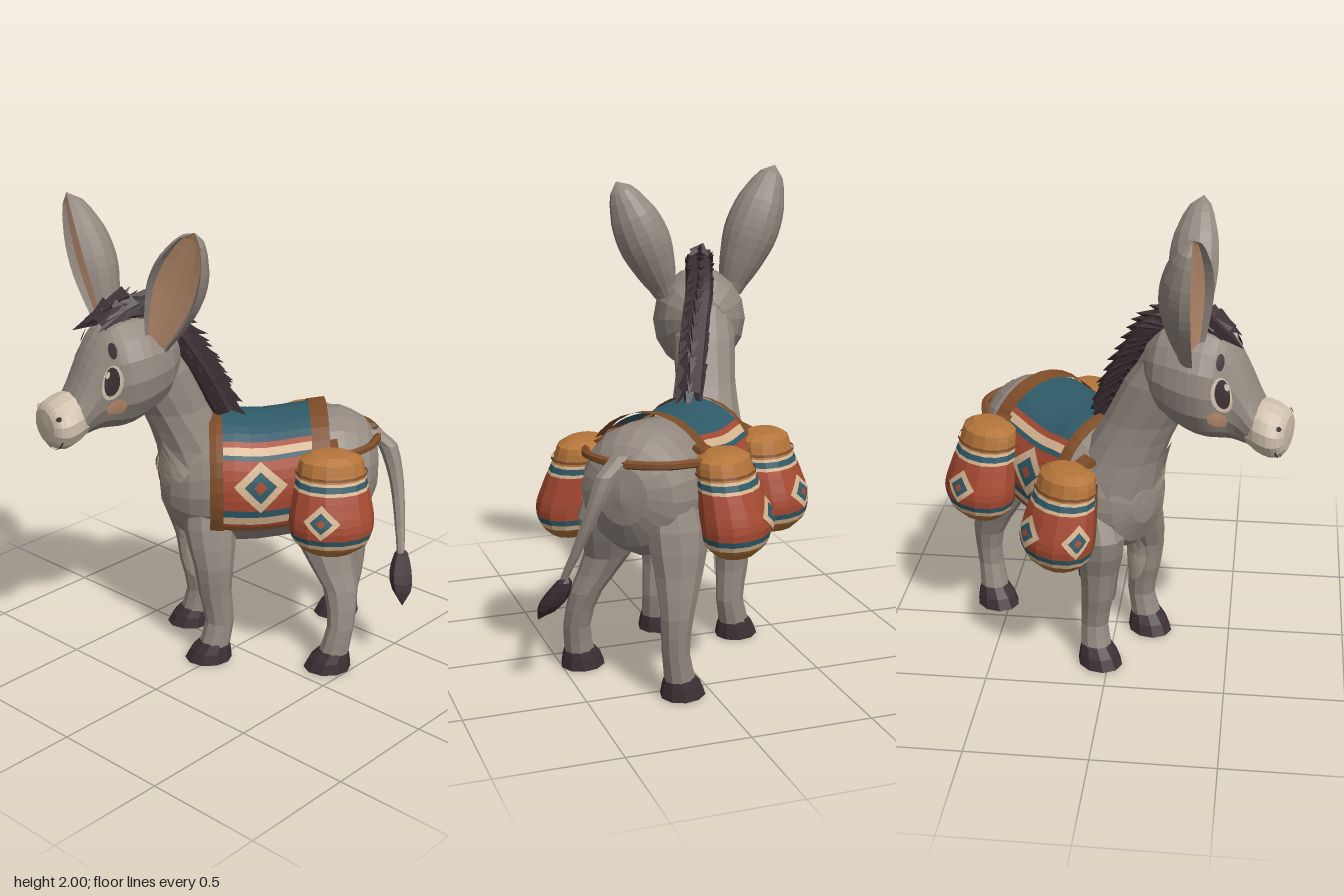
import * as THREE from 'three';

const mat = (name, color) => new THREE.MeshStandardMaterial({ name, color, flatShading: true, side: THREE.DoubleSide });
const GREY = mat('greyCoat', 0x938980), DARK = mat('darkHair', 0x3c3034), ORANGE = mat('tanLeather', 0xb5753a),
  BROWN = mat('brownStrap', 0x7d4c28), RED = mat('redCloth', 0xa64a32), TEAL = mat('tealCloth', 0x2f5a68),
  CREAM = mat('creamCloth', 0xd8b792), PALE = mat('paleMuzzle', 0xd0c1ad), PINK = mat('peachSkin', 0xc39474),
  CHEST = mat('lightCoat', 0xaea192);

// Smoothly interpolate rows of numbers keyed by their first entry
function at(rows, k) {
  const s = Math.sign(rows[1][0] - rows[0][0]), n = rows.length;
  let i = 0;
  while (i < n - 2 && (k - rows[i + 1][0]) * s > 0) i++;
  const p1 = rows[i], p2 = rows[i + 1], p0 = rows[Math.max(i - 1, 0)], p3 = rows[Math.min(i + 2, n - 1)];
  const t = (k - p1[0]) / (p2[0] - p1[0]);
  return p1.map((b, j) => b + 0.5 * t * (p2[j] - p0[j] + t * (2 * p0[j] - 5 * b + 4 * p2[j] - p3[j]
    + t * (3 * (b - p2[j]) + p3[j] - p0[j]))));
}

// Surface lying along z: rows [z, top, bottom, halfWidth]
const alongZ = rows => (k, a, o = 0) => {
  const [, top, bot, w] = at(rows, k);
  return [(Math.max(w, 0) + o) * Math.sin(a), (top + bot) / 2 + ((top - bot) / 2 + o) * Math.cos(a), k];
};
// Upright surface, listed top to bottom: rows [y, x, z, rx, rz]
const alongY = rows => (k, a, o = 0) => {
  const [, x, z, rx, rz] = at(rows, k);
  return [x + (Math.max(rx, 0) + o) * Math.sin(a), k, z + (Math.max(rz, 0) + o) * Math.cos(a)];
};

function grid(parent, name, material, us, vs, fn) {
  const pos = [], idx = [], m = vs.length;
  us.forEach(u => vs.forEach(v => pos.push(...fn(u, v))));
  for (let i = 0; i < us.length - 1; i++) for (let j = 0; j < m - 1; j++) {
    const a = i * m + j, b = a + m;
    idx.push(a, b, a + 1, b, b + 1, a + 1);
  }
  const g = new THREE.BufferGeometry();
  g.setAttribute('position', new THREE.Float32BufferAttribute(pos, 3));
  g.setIndex(idx);
  g.computeVertexNormals();
  return add(parent, name, g, material);
}
function add(parent, name, geo, material) {
  const mesh = new THREE.Mesh(geo, material);
  mesh.name = name;
  parent.add(mesh);
  return mesh;
}
const range = (a, b, n) => Array.from({ length: n + 1 }, (_, i) => a + (b - a) * i / n);
const TAU = Math.PI * 2, rad = d => d * Math.PI / 180;

function loft(parent, name, material, rows, surf, sides = 14, sub = 2) {
  const keys = [rows[0][0]];
  for (let i = 1; i < rows.length; i++) keys.push(...range(rows[i - 1][0], rows[i][0], sub).slice(1));
  return grid(parent, name, material, keys, range(0, TAU, sides), (k, a) => surf(k, a));
}
const patch = (parent, name, material, surf, k0, k1, a0, a1, off, nk = 6, na = 6) =>
  grid(parent, name, material, range(k0, k1, nk), range(rad(a0), rad(a1), na), (k, a) => surf(k, a, off));
// Thin disc or diamond that hugs a surface
const decal = (parent, name, material, surf, k, a, rk, ra, off, diamond = false) =>
  grid(parent, name, material, [0, 0.5, 1], range(0, TAU, 16), (r, t) => {
    const q = diamond ? r / (Math.abs(Math.cos(t)) + Math.abs(Math.sin(t))) : r;
    return surf(k + rk * q * Math.cos(t), a + ra * q * Math.sin(t), off);
  });
function medallion(parent, surf, k, a, rk, ra, off) {
  [[CREAM, 1], [TEAL, 0.6], [RED, 0.25]].forEach(([m, s], i) =>
    decal(parent, 'clothDiamond', m, surf, k, a, rk * s, ra * s, off + i * 0.004, true));
}

function addBody(g) {
  const rows = [[-0.62, 0.86, 0.82, 0], [-0.605, 0.96, 0.72, 0.11], [-0.56, 1.03, 0.62, 0.2], [-0.45, 1.085, 0.55, 0.25],
    [-0.3, 1.075, 0.53, 0.255], [-0.1, 1.05, 0.5, 0.26], [0.08, 1.055, 0.5, 0.25], [0.2, 1.0, 0.52, 0.21],
    [0.28, 0.92, 0.58, 0.14], [0.32, 0.83, 0.68, 0.06], [0.325, 0.76, 0.74, 0]];
  const surf = alongZ(rows);
  loft(g, 'body', GREY, rows, surf, 20);
  // Striped saddle blanket
  patch(g, 'blanketTop', TEAL, surf, -0.33, 0.08, -41, 41, 0.025, 6, 10);
  const bands = [[41, 46, RED], [46, 53, CREAM], [53, 57, TEAL], [57, 98, RED], [98, 104, TEAL],
    [104, 111, CREAM], [111, 114, RED], [114, 118, BROWN]];
  for (const s of [1, -1]) {
    for (const [a, b, m] of bands) patch(g, 'blanketBand', m, surf, -0.33, 0.08, s * a, s * b, 0.028, 6, b - a > 20 ? 5 : 1);
    medallion(g, surf, -0.095, s * rad(78), 0.112, 0.36, 0.035);
  }
  // Straps over the back, girth and rump
  patch(g, 'frontStrap', BROWN, surf, 0.06, 0.115, -118, 118, 0.034, 2, 20);
  patch(g, 'rearStrap', BROWN, surf, -0.385, -0.31, -118, 118, 0.034, 2, 20);
  patch(g, 'girth', BROWN, surf, 0.07, 0.1, 118, 242, 0.012, 1, 12);
  const rump = [[0.3, 0.94, -0.33], [0.255, 0.96, -0.43], [0.165, 0.97, -0.56], [0, 0.97, -0.61],
    [-0.165, 0.97, -0.56], [-0.255, 0.96, -0.43], [-0.3, 0.94, -0.33]].map(p => new THREE.Vector3(...p));
  add(g, 'rumpStrap', new THREE.TubeGeometry(new THREE.CatmullRomCurve3(rump), 28, 0.018, 6), BROWN);
}

function addLeg(g, name, rows, x, z) {
  const surf = alongY(rows);
  loft(g, name, GREY, rows, surf, 10);
  const hoof = [[0.1, x, z - 0.02, 0, 0], [0.095, x, z - 0.02, 0.06, 0.06], [0.05, x, z, 0.079, 0.088],
    [0.005, x, z + 0.01, 0.09, 0.102], [0, x, z + 0.01, 0, 0]];
  loft(g, 'hoof', DARK, hoof, alongY(hoof), 10, 1);
  return surf;
}
function addLegs(g) {
  for (const [s, x, z] of [[1, 0.2, 0.115], [-1, 0.14, 0.19]]) {
    const surf = addLeg(g, 'frontLeg', [[0.8, s * 0.13, 0.12, 0.06, 0.09], [0.62, s * 0.135, z, 0.105, 0.115],
      [0.45, s * (x - 0.01), z - 0.015, 0.08, 0.086], [0.32, s * (x - 0.01), z - 0.02, 0.068, 0.072],
      [0.18, s * (x - 0.01), z - 0.04, 0.058, 0.062], [0.07, s * x, z - 0.015, 0.066, 0.068]], s * x, z);
    decal(g, 'innerLegPatch', CHEST, surf, 0.4, -s * rad(80), 0.14, 0.7, 0.007);
  }
  for (const [s, x, z] of [[1, 0.305, -0.395], [-1, 0.2, -0.485]])
    addLeg(g, 'hindLeg', [[0.9, s * 0.13, -0.43, 0.08, 0.1], [0.7, s * 0.15, -0.43, 0.125, 0.15], [0.52, s * 0.18, z + 0.01, 0.095, 0.115],
      [0.36, s * (x + 0.2) / 2, z - 0.045, 0.066, 0.075], [0.2, s * (x - 0.005), z - 0.045, 0.056, 0.058], [0.07, s * x, z - 0.015, 0.064, 0.066]],
    s * x, z);
}

function addBag(parent, side, x, z, y, diamonds) {
  const g = new THREE.Group();
  g.name = 'saddlebag';
  g.position.set(side * x, y, z);
  g.scale.x = side;
  parent.add(g);
  const r = (k, q, sh) => [k, sh, 0, q * 0.76, q];
  const rows = [r(0.425, 0, -0.06), r(0.42, 0.085, -0.06), r(0.4, 0.13, -0.06), r(0.345, 0.142, -0.05), r(0.25, 0.162, -0.025),
    r(0.14, 0.178, 0), r(0.06, 0.158, 0), r(0.01, 0.095, 0), r(0, 0, 0)];
  const surf = alongY(rows);
  const bands = [[0.425, 0.42, ORANGE, 1], [0.42, 0.33, ORANGE, 4], [0.33, 0.318, CREAM, 1], [0.318, 0.295, TEAL, 1],
    [0.295, 0.282, CREAM, 1], [0.282, 0.105, RED, 6], [0.105, 0.082, TEAL, 1], [0.082, 0.062, CREAM, 1], [0.062, 0, ORANGE, 5]];
  for (const [a, b, m, n] of bands) patch(g, 'bagBand', m, surf, a, b, 0, 360, 0, n, 14);
  patch(g, 'bagBack', ORANGE, surf, 0.34, 0.06, 228, 312, 0.006, 8, 6);
  patch(g, 'lidRim', BROWN, surf, 0.35, 0.34, 0, 360, 0.008, 1, 14);
  for (const a of diamonds) medallion(g, surf, 0.185, rad(a), 0.07, 0.44, 0.008);
  // Hanger joining the bag to the blanket
  const hanger = add(g, 'bagHanger', new THREE.BoxGeometry(0.12, 0.025, 0.07), BROWN);
  hanger.position.set(-0.12, 0.405, 0);
  hanger.rotation.z = -0.35;
}

function addHead(root) {
  const g = new THREE.Group();
  g.name = 'head';
  g.position.set(-0.278, 0, 0.33);
  g.rotation.y = rad(-15);
  root.add(g);
  const rows = [[-0.19, 1.4, 1.36, 0], [-0.18, 1.46, 1.28, 0.09], [-0.11, 1.54, 1.18, 0.165], [0, 1.565, 1.12, 0.2],
    [0.08, 1.56, 1.1, 0.2], [0.13, 1.54, 1.1, 0.178], [0.18, 1.49, 1.1, 0.137], [0.23, 1.4, 1.09, 0.117], [0.29, 1.27, 1.08, 0.11]];
  const surf = alongZ(rows);
  loft(g, 'skull', GREY, rows, surf, 16);
  const muzzle = [[0.25, 1.24, 1.09, 0.1], [0.285, 1.275, 1.065, 0.12], [0.34, 1.265, 1.05, 0.132], [0.38, 1.245, 1.06, 0.118],
    [0.4, 1.22, 1.085, 0.085], [0.405, 1.16, 1.155, 0]];
  const snout = alongZ(muzzle);
  loft(g, 'muzzle', PALE, muzzle, snout, 14);
  for (const s of [1, -1]) {
    decal(g, 'eyeWhite', PALE, surf, 0.17, s * rad(81), 0.036, 0.33, 0.009);
    decal(g, 'pupil', DARK, surf, 0.173, s * rad(79), 0.026, 0.27, 0.014);
    decal(g, 'eyeGlint', PALE, surf, 0.184, s * rad(69), 0.008, 0.06, 0.018);
    decal(g, 'eyebrow', DARK, surf, 0.152, s * rad(48), 0.013, 0.17, 0.012);
    decal(g, 'cheekBlush', PINK, surf, 0.155, s * rad(111), 0.034, 0.17, 0.01);
    decal(g, 'nostril', DARK, snout, 0.383, s * rad(55), 0.009, 0.1, 0.006);
  }
  patch(g, 'mouth', DARK, snout, 0.375, 0.38, 115, 245, 0.004, 1, 8);
}

function addEar(root, x, len, tilt, yaw) {
  const g = new THREE.Group();
  g.name = 'ear';
  g.position.set(x, 1.46, 0.34);
  g.rotation.set(0, yaw, -tilt, 'ZYX');
  root.add(g);
  const rows = [[0, 0.45], [0.2, 0.75], [0.45, 1], [0.68, 0.92], [0.87, 0.6], [0.96, 0.33], [1, 0]];
  const ts = range(0, 1, 14), w = t => Math.max(at(rows, t)[1], 0) * 0.118;
  // Back, rolled rims and hollow inside
  grid(g, 'earBack', GREY, ts, range(0, Math.PI, 8), (t, a) => [w(t) * Math.cos(a), t * len, -1.1 * w(t) * Math.sin(a)]);
  for (const s of [1, -1]) grid(g, 'earRim', GREY, ts, [[0.72, 0.06], [0.86, 0.32], [1, 0]],
    (t, [q, z]) => [s * q * w(t), t * len, z * w(t)]);
  grid(g, 'earInside', PINK, ts, range(-0.72, 0.72, 4), (t, q) => [q * w(t), t * len, w(t) * (0.35 * q * q - 0.12)]);
}

function addMane(root) {
  const path = new THREE.CatmullRomCurve3([[-0.32, 1.52, 0.46], [-0.295, 1.57, 0.39], [-0.255, 1.57, 0.28], [-0.215, 1.5, 0.17],
    [-0.165, 1.36, 0.085], [-0.125, 1.22, 0.015], [-0.095, 1.1, -0.035]].map(p => new THREE.Vector3(...p)));
  add(root, 'maneCore', new THREE.TubeGeometry(path, 24, 0.06, 7), DARK);
  const up = new THREE.Vector3(0, 1, 0), mid = new THREE.Vector3(-0.25, 1.22, 0.32);
  let seed = 7;
  const rnd = () => (seed = (seed * 16807) % 2147483647) / 2147483647;
  // Overlapping pointed locks, the first few falling over the brow
  for (let i = 0; i < 17; i++) for (let j = -1; j <= 1; j++) {
    const t = (i + rnd() * 0.8) / 17, p = path.getPointAt(t), brow = t < 0.12;
    const out = p.clone().sub(mid).normalize();
    const lock = add(root, 'maneLock', new THREE.ConeGeometry(0.046, 0.12 + rnd() * 0.05, 4), DARK);
    lock.position.copy(p).addScaledVector(out, j ? 0.02 : 0.045);
    lock.position.x += j * 0.04;
    const dir = path.getTangentAt(t).multiplyScalar(brow ? -1.5 : 1.2).addScaledVector(out, brow ? 0.2 : 0.8);
    dir.x += j * 0.4;
    lock.quaternion.setFromUnitVectors(up, dir.normalize());
  }
}

function addTail(root) {
  const rows = [[1.0, 0.33, -0.47, 0.05, 0.05], [0.93, 0.41, -0.51, 0.045, 0.04], [0.78, 0.47, -0.505, 0.032, 0.03],
    [0.6, 0.53, -0.46, 0.022, 0.022], [0.47, 0.57, -0.42, 0.016, 0.016]];
  loft(root, 'tail', GREY, rows, alongY(rows), 8, 3);
  const tuft = [[0.52, 0.555, -0.435, 0, 0], [0.49, 0.565, -0.43, 0.03, 0.03], [0.42, 0.59, -0.4, 0.05, 0.05],
    [0.36, 0.62, -0.37, 0.042, 0.042], [0.305, 0.65, -0.335, 0, 0]];
  loft(root, 'tailTuft', DARK, tuft, alongY(tuft), 7);
}

export function createModel() {
  const root = new THREE.Group();
  root.name = 'packDonkey';
  // Trunk, legs and load stand at an angle; the neck and head turn to the front
  const trunk = new THREE.Group();
  trunk.name = 'trunk';
  trunk.position.set(-0.078, 0, -0.078);
  trunk.rotation.y = -Math.PI / 4;
  root.add(trunk);
  addBody(trunk);
  addLegs(trunk);
  addBag(trunk, 1, 0.345, -0.385, 0.57, [72]);
  addBag(trunk, -1, 0.33, 0.16, 0.53, [98, 15]);
  addBag(trunk, -1, 0.365, -0.335, 0.57, [78]);
  const neck = [[1.45, -0.28, 0.27, 0.1, 0.12], [1.3, -0.255, 0.22, 0.13, 0.16], [1.12, -0.23, 0.13, 0.125, 0.155],
    [0.95, -0.2, 0.05, 0.155, 0.17], [0.8, -0.18, 0.0, 0.19, 0.2], [0.62, -0.18, -0.02, 0.16, 0.17]];
  const neckSurf = alongY(neck);
  loft(root, 'neck', GREY, neck, neckSurf, 12);
  decal(root, 'chestPatch', CHEST, neckSurf, 0.84, 0.1, 0.16, 0.6, 0.014, true);
  addHead(root);
  addEar(root, -0.12, 0.54, rad(24), rad(22));
  addEar(root, -0.42, 0.58, rad(-21), rad(-22));
  addMane(root);
  addTail(root);
  return root;
}
